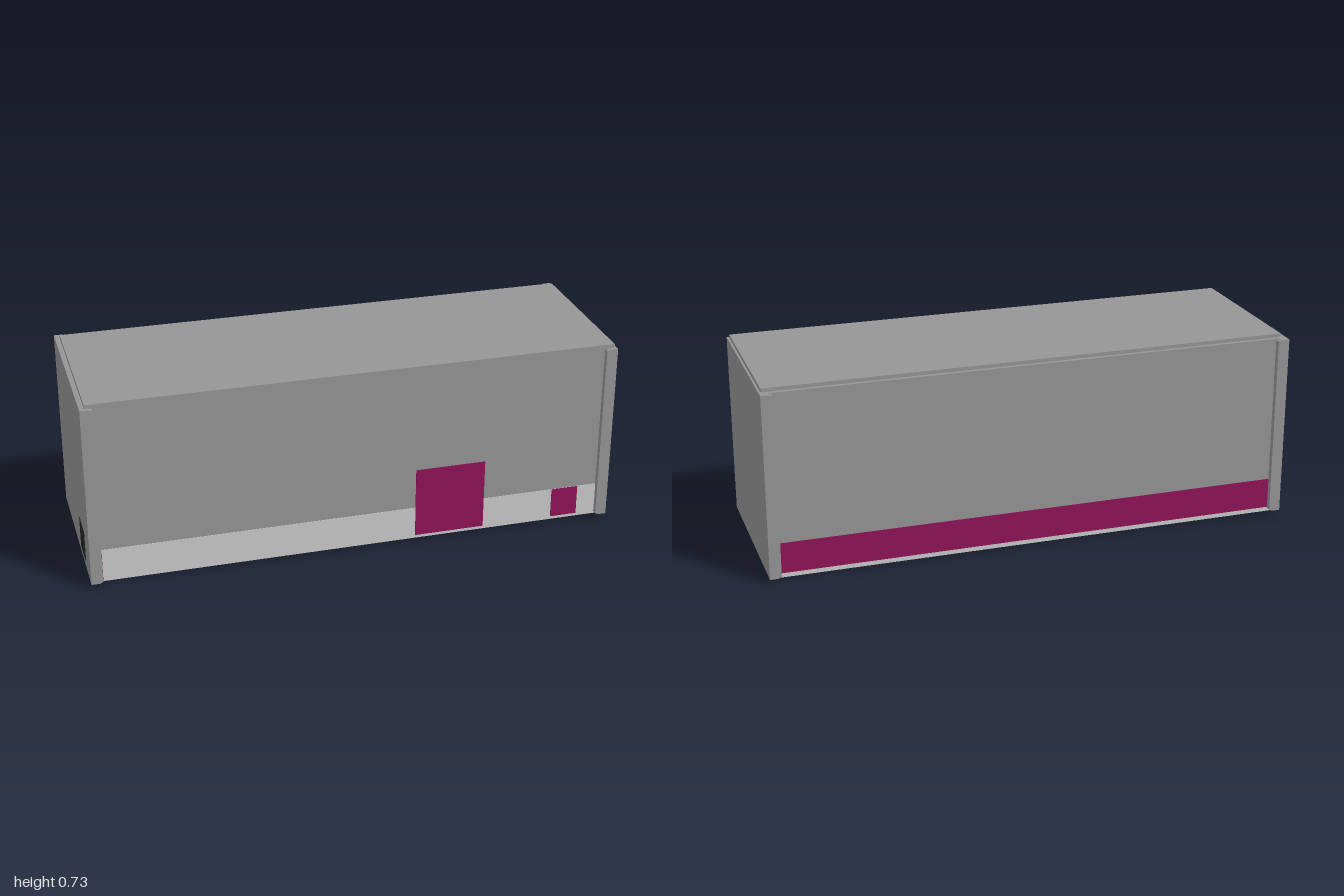
import * as THREE from 'three';

const paint = (color) => new THREE.MeshStandardMaterial({ color });

export function createModel() {
  const model = new THREE.Group();
  const grey = paint(0x969696);
  const pale = paint(0xcccccc);
  const plum = paint(0x8f1358);
  const dark = paint(0x262626);

  // Box given by its lower and upper limits on each axis
  function block(name, mat, [x0, x1], [y0, y1], [z0, z1], parent = model) {
    const mesh = new THREE.Mesh(new THREE.BoxGeometry(x1 - x0, y1 - y0, z1 - z0), mat);
    mesh.position.set((x0 + x1) / 2, (y0 + y1) / 2, (z0 + z1) / 2);
    mesh.name = name;
    parent.add(mesh);
    return mesh;
  }

  // Main shell: walls, lid and base
  block('body', grey, [-0.985, 0.985], [0.03, 0.715], [-0.318, 0.32]);
  block('lid', grey, [-0.98, 0.99], [0.713, 0.729], [-0.303, 0.325]);
  block('base', pale, [-0.98, 0.985], [0.005, 0.035], [-0.302, 0.3]);

  // Bands along the foot of the long walls
  block('frontBand', pale, [-0.955, 0.955], [0.03, 0.147], [0.315, 0.3215]);
  block('backBand', plum, [-0.955, 0.955], [0.03, 0.147], [-0.3195, -0.312]);

  // Door panels on the front
  block('largeDoor', plum, [0.23, 0.5], [0.03, 0.305], [0.315, 0.323]);
  block('smallDoor', plum, [0.775, 0.88], [0.03, 0.147], [0.315, 0.323]);

  // Bevelled corner post outline, outer edge at x = 0
  const w = 0.043, c = 0.012, y0 = 0.02, y1 = 0.715;
  const postShape = new THREE.Shape([
    [0, y0 + 0.004], [0.004, y0], [w - c, y0], [w, y0 + c / 2],
    [w, y1 - c / 2], [w - c, y1], [0.004, y1], [0, y1 - 0.004],
  ].map(([x, y]) => new THREE.Vector2(x, y)));
  const postGeometry = new THREE.ExtrudeGeometry(postShape, { depth: 0.032, bevelEnabled: false });

  // End walls with a post at each corner
  for (const side of [-1, 1]) {
    const end = new THREE.Group();
    end.name = side > 0 ? 'leftEnd' : 'rightEnd';
    block('endPlate', grey, [side * 0.99 - 0.008, side * 0.99 + 0.008], [y0, y1], [-0.34, 0.34], end);
    for (const face of [-1, 1]) {
      const post = new THREE.Mesh(postGeometry, grey);
      post.name = 'cornerPost';
      // Rotate rather than mirror, so faces keep pointing outwards
      const turned = side > 0;
      post.rotation.y = turned ? Math.PI : 0;
      const zLow = face > 0 ? 0.308 : -0.34;
      post.position.set(side * 0.998, 0, turned ? zLow + 0.032 : zLow);
      end.add(post);
    }
    model.add(end);
  }
  block('bandReturn', plum, [-0.956, -0.954], [0.03, 0.147], [0.32, 0.338]);

  // Small hatch on the right end
  block('endHatch', dark, [-1, -0.99], [0.05, 0.172], [0.103, 0.218]);

  // Marks under the base
  block('baseRailLong', dark, [-0.81, -0.69], [0, 0.008], [0.118, 0.132]);
  block('baseRailShort', dark, [-0.81, -0.796], [0, 0.008], [0.132, 0.218]);
  for (const x of [0.03, -0.235]) {
    const stud = new THREE.Mesh(new THREE.CylinderGeometry(0.015, 0.015, 0.006, 20), dark);
    stud.name = 'baseStud';
    stud.position.set(x, 0.006, 0.078);
    model.add(stud);
  }
  return model;
}
